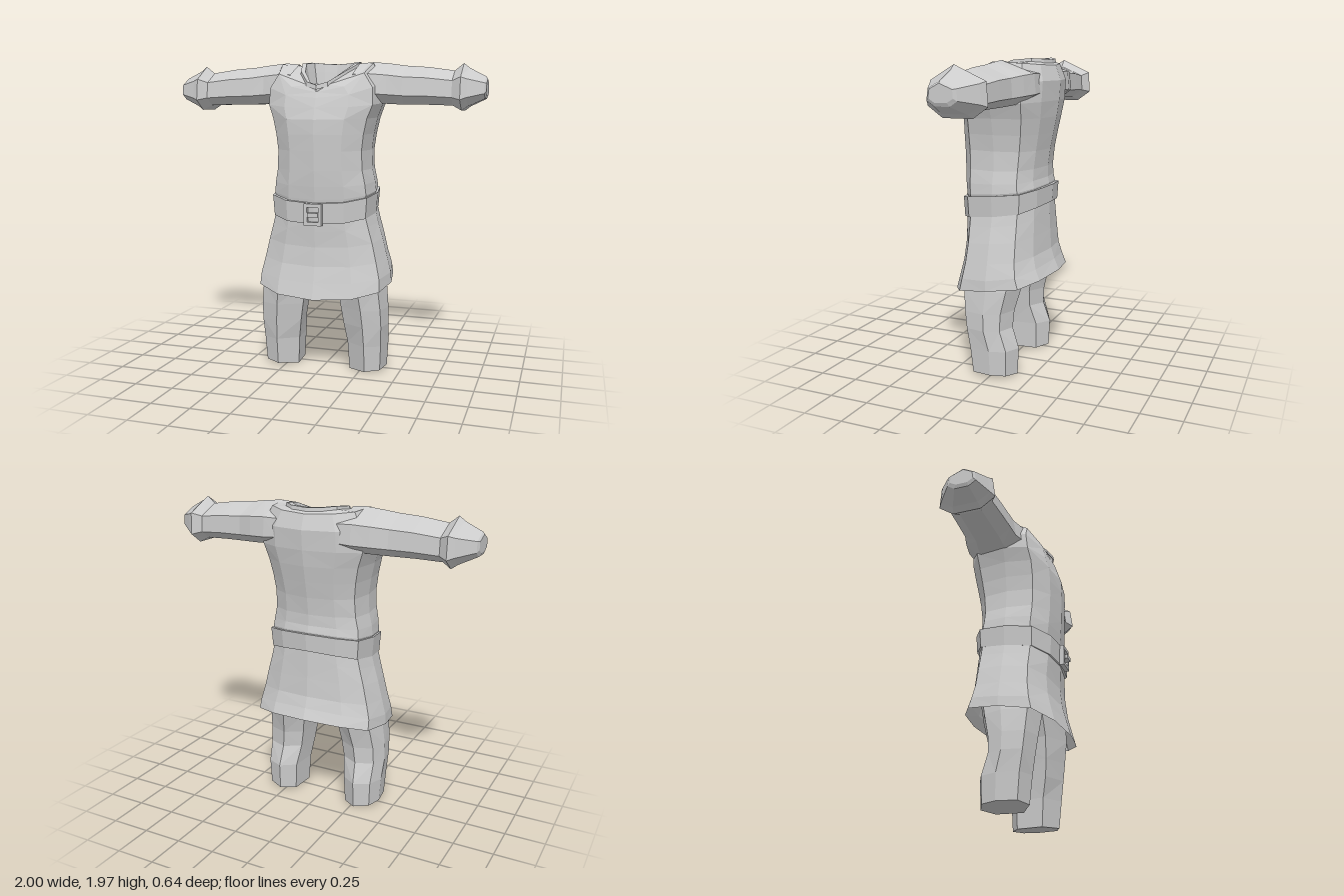
import * as THREE from 'three';

const grey = new THREE.MeshStandardMaterial({ color: 0xcccccc, flatShading: true, side: THREE.DoubleSide });

// Skin a list of rings (arrays of [x, y, z]) with optional end caps.
function loft(name, rings, capStart = false, capEnd = false) {
  const n = rings[0].length, pos = [], index = [];
  rings.forEach(r => r.forEach(p => pos.push(...p)));
  for (let i = 0; i < rings.length - 1; i++) {
    for (let j = 0; j < n; j++) {
      const a = i * n + j, b = i * n + (j + 1) % n, c = b + n, d = a + n;
      if ((i + j) % 2) index.push(a, b, c, a, c, d);
      else index.push(a, b, d, b, c, d);
    }
  }
  const cap = (ring, start, flip) => {
    const k = pos.length / 3;
    for (let a = 0; a < 3; a++) pos.push(ring.reduce((s, p) => s + p[a], 0) / n);
    for (let j = 0; j < n; j++) {
      const a = start + j, b = start + (j + 1) % n;
      index.push(k, flip ? b : a, flip ? a : b);
    }
  };
  if (capStart) cap(rings[0], 0, true);
  if (capEnd) cap(rings[rings.length - 1], (rings.length - 1) * n, false);
  const g = new THREE.BufferGeometry();
  g.setAttribute('position', new THREE.Float32BufferAttribute(pos, 3));
  g.setIndex(index);
  const flat = g.toNonIndexed();
  flat.computeVertexNormals();
  const mesh = new THREE.Mesh(flat, grey);
  mesh.name = name;
  return mesh;
}

// Complete a half ring (front centre to back centre) by mirroring in x.
const mirrorRing = half =>
  [...half, ...half.slice(1, -1).reverse().map(([x, y, z]) => [-x, y, z])];

// Twelve-sided body section; y runs from front to side to back.
const SECTION = [[0, 1], [0.56, 0.9], [0.92, 0.6], [1, 0], [0.92, -0.62], [0.56, -0.88], [0, -1]];
function bodyRing([yf, ys, yb, w, zf, zb]) {
  return mirrorRing(SECTION.map(([u, v]) => {
    const t = v * v;
    return [u * w, v > 0 ? ys + (yf - ys) * t : ys + (yb - ys) * t, v > 0 ? v * zf : -v * zb];
  }));
}

// Mirror rings across x, keeping the faces outward.
const flipRings = rings => rings.map(r => r.map(([x, y, z]) => [-x, y, z]).reverse());

export function createModel() {
  const model = new THREE.Group();

  // Neck opening, also the upper edge of the torso
  const neck = [[0, 1.80, 0.225], [0.065, 1.82, 0.20], [0.145, 1.89, 0.08], [0.19, 1.945, -0.08],
    [0.165, 1.955, -0.19], [0.10, 1.95, -0.24], [0, 1.945, -0.255]];
  const neckRing = (scale, dy) =>
    mirrorRing(neck.map(([x, y, z]) => [x * scale, y + dy, (z + 0.03) * scale - 0.03]));

  // Torso: yFront, ySide, yBack, half width, zFront, zBack
  const torso = [
    [1.02, 1.08, 1.13, 0.30, 0.25, -0.245],
    [1.12, 1.16, 1.20, 0.325, 0.262, -0.25],
    [1.20, 1.22, 1.24, 0.318, 0.27, -0.24],
    [1.30, 1.30, 1.31, 0.30, 0.277, -0.24],
    [1.42, 1.42, 1.42, 0.295, 0.282, -0.255],
    [1.52, 1.52, 1.52, 0.308, 0.285, -0.275],
    [1.61, 1.62, 1.62, 0.33, 0.282, -0.295],
    [1.68, 1.71, 1.72, 0.365, 0.26, -0.31],
    [1.74, 1.84, 1.84, 0.36, 0.24, -0.318],
    [1.775, 1.955, 1.93, 0.30, 0.225, -0.285],
  ].map(bodyRing);
  model.add(loft('torso', [...torso, neckRing(1, 0)]));

  // Collar rim and the hollow inside it
  model.add(loft('collar', [neckRing(1.04, -0.01), neckRing(1.02, 0.018), neckRing(0.86, 0.015),
    neckRing(0.80, -0.04), neckRing(0.72, -0.12)], false, true));

  // Skirt of the tunic, dipping at the front
  model.add(loft('skirt', [
    [0.50, 0.575, 0.64, 0.43, 0.322, -0.322],
    [0.60, 0.64, 0.71, 0.425, 0.295, -0.29],
    [0.70, 0.74, 0.78, 0.40, 0.27, -0.268],
    [0.82, 0.86, 0.90, 0.37, 0.258, -0.26],
    [0.92, 0.96, 1.01, 0.34, 0.262, -0.255],
    [1.00, 1.06, 1.11, 0.315, 0.265, -0.25],
  ].map(bodyRing)));

  // Belt band with thickness
  model.add(loft('belt', [
    [0.98, 1.03, 1.09, 0.30, 0.25, -0.24],
    [0.97, 1.02, 1.085, 0.325, 0.282, -0.27],
    [1.10, 1.15, 1.195, 0.335, 0.288, -0.277],
    [1.10, 1.145, 1.19, 0.30, 0.25, -0.24],
  ].map(bodyRing)));

  // Buckle: square frame with a prong
  const buckle = new THREE.Group();
  buckle.name = 'buckle';
  const rect = (T, w, h) => new T([[-w, -h], [w, -h], [w, h], [-w, h]].map(p => new THREE.Vector2(...p)));
  const frame = rect(THREE.Shape, 0.057, 0.068);
  frame.holes.push(rect(THREE.Path, 0.036, 0.046));
  const frameMesh = new THREE.Mesh(new THREE.ExtrudeGeometry(frame, { depth: 0.03, bevelEnabled: false }), grey);
  frameMesh.name = 'buckleFrame';
  const prong = new THREE.Mesh(new THREE.BoxGeometry(0.065, 0.026, 0.035), grey);
  prong.name = 'buckleProng';
  prong.position.set(0.005, 0, 0.028);
  buckle.add(frameMesh, prong);
  buckle.position.set(0, 1.032, 0.275);
  model.add(buckle);

  // Sleeves with flared cuffs: x, yLow, yHigh, zBack, zFront
  const SLEEVE = [[1, 0.1], [0.4, 0.9], [-0.55, 1], [-1, 0.5], [-1, -0.5], [-0.55, -1], [0.4, -0.95]];
  const sleeve = [
    [0.20, 1.72, 1.955, -0.27, 0.15],
    [0.29, 1.71, 1.963, -0.27, 0.13],
    [0.40, 1.705, 1.953, -0.245, 0.10],
    [0.50, 1.70, 1.938, -0.212, 0.10],
    [0.64, 1.70, 1.928, -0.203, 0.095],
    [0.80, 1.695, 1.905, -0.19, 0.09],
    [0.855, 1.665, 1.948, -0.23, 0.13],
    [0.89, 1.69, 1.92, -0.205, 0.11],
    [0.99, 1.735, 1.868, -0.12, 0.06],
    [1.00, 1.755, 1.855, -0.10, 0.045],
  ].map(([x, y0, y1, z0, z1]) => SLEEVE.map(([u, v]) =>
    [x, (y0 + y1) / 2 + u * (y1 - y0) / 2, (z0 + z1) / 2 + v * (z1 - z0) / 2]));

  // Trouser legs: y, xInner, xOuter, zBack, zFront
  const LEG = [[0.52, 1], [0.92, 0.72], [1, -0.1], [0.86, -0.72], [0.45, -1], [0.06, -0.6], [0, 0.5]];
  const leg = [
    [0.01, 0.175, 0.402, -0.152, 0.15],
    [0.18, 0.165, 0.412, -0.16, 0.168],
    [0.31, 0.145, 0.42, -0.115, 0.185],
    [0.42, 0.128, 0.418, -0.122, 0.20],
    [0.56, 0.105, 0.405, -0.16, 0.22],
    [0.72, 0.05, 0.375, -0.20, 0.225],
    [0.88, 0.0, 0.33, -0.21, 0.22],
  ].map(([y, x0, x1, z0, z1]) => LEG.map(([u, v]) =>
    [x0 + u * (x1 - x0), y + (y < 0.1 ? (u - 0.5) * 0.02 : 0), (z0 + z1) / 2 + v * (z1 - z0) / 2]));

  model.add(loft('leftSleeve', sleeve, false, true), loft('rightSleeve', flipRings(sleeve), false, true));
  model.add(loft('leftLeg', leg, true, true), loft('rightLeg', flipRings(leg), true, true));
  return model;
}
